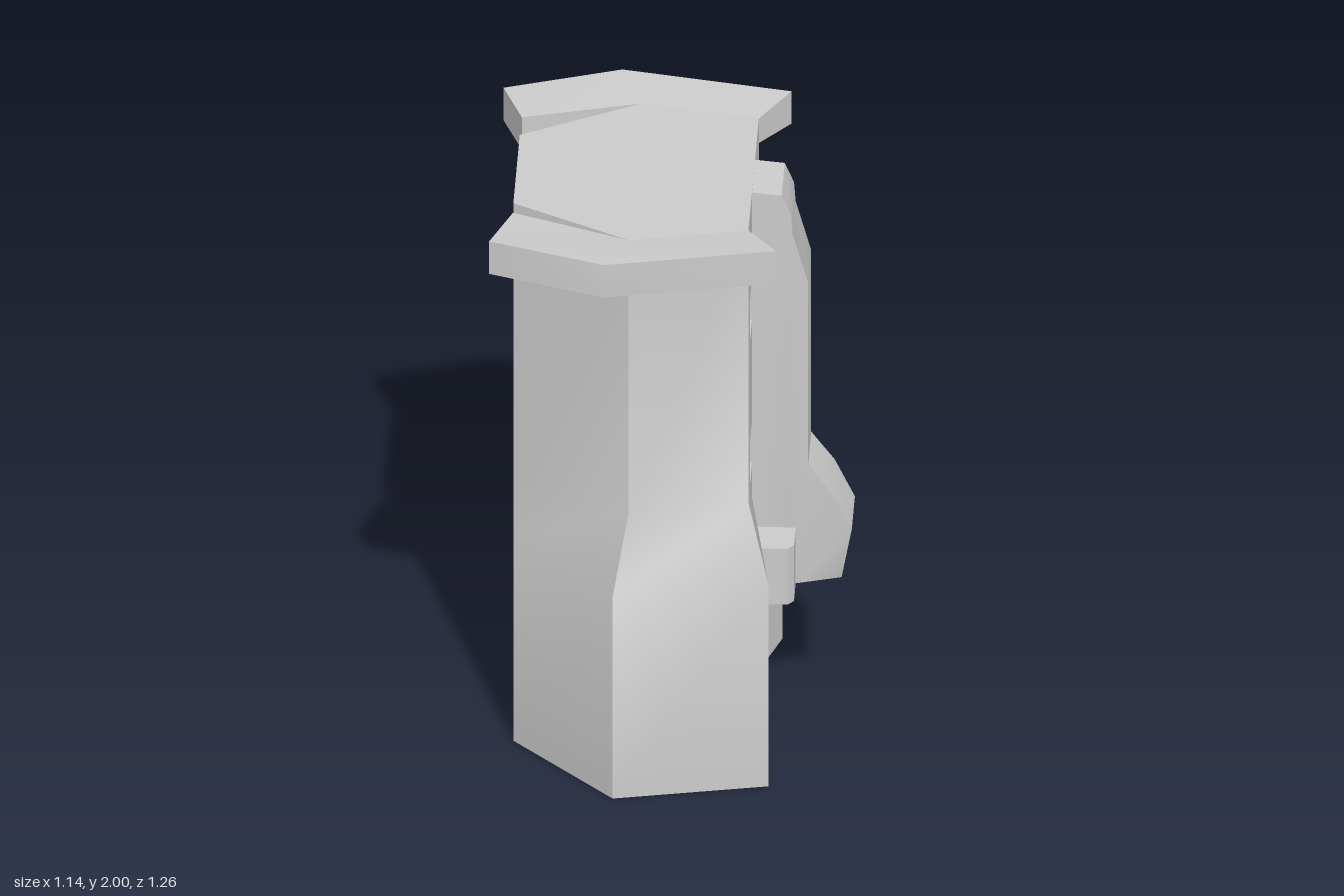
import * as THREE from 'three';
import { toCreasedNormals } from 'three/addons/utils/BufferGeometryUtils.js';

const CREASE = 0.58;
const TOP = 1.985;
const FACE_X = 0.25; // plane of the flat latch side
const STRIP = 0.255; // half width of that flat side

export function createModel() {
  const group = new THREE.Group();
  const material = new THREE.MeshStandardMaterial({ color: 0xcccccc, side: THREE.DoubleSide });

  const add = (name, geometry, smooth = true) => {
    const mesh = new THREE.Mesh(smooth ? toCreasedNormals(geometry, CREASE) : geometry, material);
    mesh.name = name;
    group.add(mesh);
    return mesh;
  };
  const shapeOf = (pts) => new THREE.Shape(pts.map(([x, y]) => new THREE.Vector2(x, y)));
  const rect = (x0, x1, y0, y1) => [[x0, y0], [x1, y0], [x1, y1], [x0, y1]];
  const extrude = (shape, depth) => new THREE.ExtrudeGeometry(shape, { depth, bevelEnabled: false });
  const moveVertices = (geometry, rule) => {
    const p = geometry.attributes.position;
    const v = new THREE.Vector3();
    for (let i = 0; i < p.count; i++) {
      rule(v.fromBufferAttribute(p, i));
      p.setXYZ(i, v.x, v.y, v.z);
    }
    return geometry;
  };
  // outline in x,z extruded upwards
  const plate = (pts, y, height) =>
    extrude(shapeOf(pts.map(([x, z]) => [x, -z])), height).rotateX(-Math.PI / 2).translate(0, y, 0);

  // Body shell: wide at the bottom, narrow above, open along the latch side
  const section = (xr, zr, xc, zc) => {
    const half = [[FACE_X, STRIP], [xr, zr], [xc, zc], [-0.51, 0.22]];
    return [...half, ...half.map(([x, z]) => [x, -z]).reverse()];
  };
  const wide = section(0.32, 0.475, -0.175, 0.577);
  const narrow = section(FACE_X, 0.36, -0.13, 0.44);
  const rings = [[0, wide], [0.745, wide], [0.98, narrow], [TOP, narrow]];
  const positions = rings.flatMap(([y, pts]) => pts.flatMap(([x, z]) => [x, y, z]));
  const n = wide.length;
  const index = [];
  for (let r = 0; r < rings.length - 1; r++) {
    for (let j = 0; j < n - 1; j++) {
      const a = r * n + j, b = a + 1, c = a + n, d = c + 1;
      index.push(a, c, b, b, c, d);
    }
  }
  const shell = new THREE.BufferGeometry();
  shell.setAttribute('position', new THREE.Float32BufferAttribute(positions, 3));
  shell.setIndex(index);
  add('bodyShell', shell);
  add('bodyTop', new THREE.ShapeGeometry(shapeOf(narrow.map(([x, z]) => [x, -z])))
    .rotateX(-Math.PI / 2).translate(0, TOP, 0), false);
  add('bodyBottom', new THREE.ShapeGeometry(shapeOf(wide)).rotateX(Math.PI / 2), false);

  // Flat latch side as two slabs whose holes form the recesses
  const recessedSlab = (name, y0, y1, depth, holes, rule) => {
    const shape = shapeOf(rect(-STRIP, STRIP, y0, y1));
    for (const h of holes) shape.holes.push(shapeOf(rect(...h)));
    const geometry = extrude(shape, depth);
    if (rule) moveVertices(geometry, rule);
    add(name, geometry.rotateY(Math.PI / 2).translate(FACE_X - depth, 0, 0));
    add(name + 'Back', new THREE.BoxGeometry(0.02, y1 - y0, STRIP * 2)
      .translate(FACE_X - depth - 0.01, (y0 + y1) / 2, 0), false);
  };
  const slots = [];
  for (const [y0, y1] of [[0.98, 1.14], [1.51, 1.66]]) {
    slots.push([0.105, 0.243, y0, y1], [-0.243, -0.105, y0, y1]);
  }
  // slots narrow towards their inner end
  recessedSlab('slottedPanel', 0.5, TOP - 0.003, 0.14, slots, (v) => {
    if (v.z < 0.01 && Math.abs(Math.abs(v.x) - 0.243) < 0.002) v.x = Math.sign(v.x) * 0.213;
  });
  recessedSlab('socketPanel', 0.002, 0.5, 0.5, [[-0.22, 0.22, 0.006, 0.41]]);

  // Spine on the latch side, with a hooked lower end that tapers
  const spineProfile = [
    [0.24, 1.98], [0.345, 1.97], [0.375, 1.9], [0.38, 1.83], [0.43, 1.65], [0.43, 0.98],
    [0.505, 0.88], [0.57, 0.745], [0.535, 0.54], [0.39, 0.54], [0.24, 0.54],
  ];
  const spine = extrude(shapeOf(spineProfile), 0.212).translate(0, 0, -0.106);
  moveVertices(spine, (v) => {
    if (v.x > 0.5 && v.y < 0.6) v.z *= 0.56;
  });
  add('latchSpine', spine);

  // Cross block behind the hook, with bevelled outer corners
  add('latchBlock', plate([
    [0.24, 0.245], [0.37, 0.245], [0.39, 0.22], [0.39, -0.22], [0.37, -0.245], [0.24, -0.245],
  ], 0.54, 0.206));

  // Pair of rim wings, dipping slightly where they meet the body
  const wing = [
    [-0.575, 0.495], [-0.2, 0.63], [0.347, 0.515], [0.25, 0.36], [-0.13, 0.44], [-0.507, 0.307],
  ];
  for (const [side, name] of [[1, 'frontRimWing'], [-1, 'backRimWing']]) {
    const geometry = plate(wing.map(([x, z]) => [x, z * side]), 1.88, 0.12);
    moveVertices(geometry, (v) => {
      if (v.x > -0.15 && Math.abs(v.z) < 0.45) v.y += v.y > 1.95 ? TOP - 2 : 0.015;
    });
    add(name, geometry);
  }

  return group;
}
